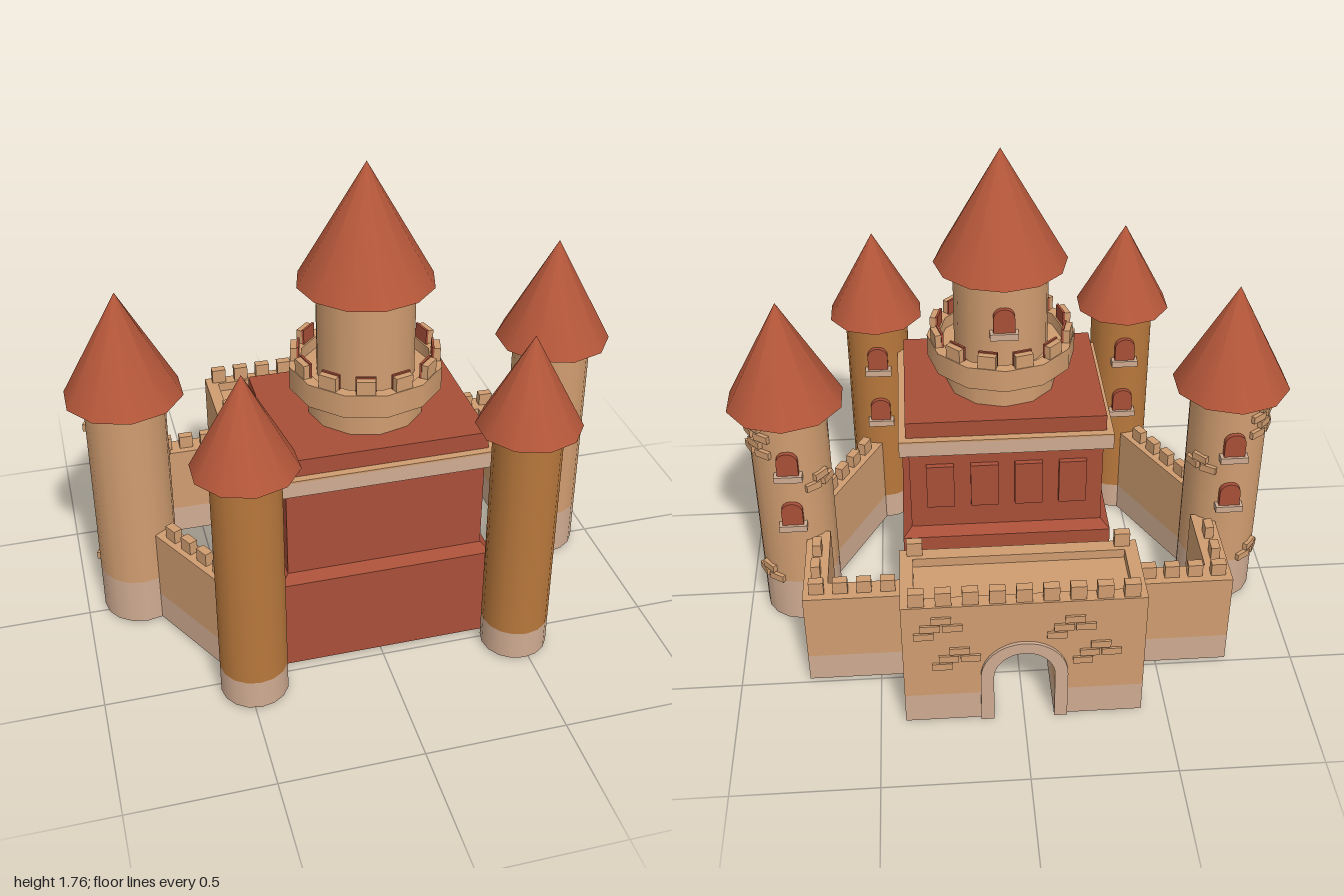
import * as THREE from 'three';

const mat = (name, color, side = THREE.FrontSide) => {
  const m = new THREE.MeshStandardMaterial({ color, side });
  m.name = name;
  return m;
};

export function createModel() {
  const roofRed = mat('roof red', 0xb5573a, THREE.DoubleSide);
  const brickRed = mat('brick red', 0xa84f38);
  const tan = mat('sandstone', 0xd09d70, THREE.DoubleSide);
  const ochre = mat('ochre', 0xb8783c, THREE.DoubleSide);
  const cream = mat('pale stone', 0xd0ac92, THREE.DoubleSide);

  const root = new THREE.Group();
  root.name = 'castle';
  const add = (name, geo, m, parent = root, x = 0, y = 0, z = 0) => {
    const mesh = new THREE.Mesh(geo, m);
    mesh.name = name;
    mesh.position.set(x, y, z);
    parent.add(mesh);
    return mesh;
  };
  const group = (name, x = 0, y = 0, z = 0, parent = root) => {
    const g = new THREE.Group();
    g.name = name;
    g.position.set(x, y, z);
    parent.add(g);
    return g;
  };
  // box given by its limits
  const box = (name, m, parent, x0, x1, y0, y1, z0, z1) =>
    add(name, new THREE.BoxGeometry(x1 - x0, y1 - y0, z1 - z0), m, parent,
      (x0 + x1) / 2, (y0 + y1) / 2, (z0 + z1) / 2);
  // open round section between two heights
  const drum = (name, m, parent, r0, r1, y0, y1, sides) =>
    add(name, new THREE.CylinderGeometry(r1, r0, y1 - y0, sides, 1, true), m, parent, 0, (y0 + y1) / 2, 0);
  const cone = (parent, r, y0, y1, sides) =>
    add('roof', new THREE.ConeGeometry(r, y1 - y0, sides), roofRed, parent, 0, (y0 + y1) / 2, 0);

  const archShape = (half, straight) => {
    const s = new THREE.Shape();
    s.moveTo(half, 0);
    s.lineTo(half, straight);
    s.absarc(0, straight, half, 0, Math.PI, false);
    s.lineTo(-half, 0);
    return s;
  };
  const extrude = (shape, depth) =>
    new THREE.ExtrudeGeometry(shape, { depth, bevelEnabled: false, curveSegments: 10 });

  // arched shutter with a tan surround and pale sill, facing outward at angle a
  const towerWindow = (parent, r, a, y) => {
    const g = group('window', Math.sin(a) * (r - 0.015), y, Math.cos(a) * (r - 0.015), parent);
    g.rotation.y = a;
    add('shutter', extrude(archShape(0.038, 0.055), 0.03), brickRed, g);
    box('sill', cream, g, -0.05, 0.05, -0.025, 0, 0, 0.04);
  };
  // staggered raised stones wrapped round a tower
  const towerBricks = (parent, r, a, y, rows) => {
    for (let i = 0; i < rows; i++) {
      for (let j = 0; j < (i % 2 ? 1 : 2); j++) {
        const b = a + (i % 2 ? 0 : (j - 0.5) * 0.5);
        const s = add('raised stone', new THREE.BoxGeometry(0.06, 0.028, 0.025), tan, parent,
          Math.sin(b) * r, y + i * 0.034, Math.cos(b) * r);
        s.rotation.y = b;
      }
    }
  };

  // corner towers
  for (const side of [-1, 1]) {
    const big = group('rearTower', side * 0.795, 0, -0.03);
    drum('base', cream, big, 0.142, 0.142, 0.01, 0.19, 16);
    drum('shaft', tan, big, 0.142, 0.142, 0.19, 0.93, 16);
    cone(big, 0.21, 0.915, 1.305, 10);
    for (const y of [0.475, 0.695]) towerWindow(big, 0.142, Math.PI, y);
    const a = Math.PI - side * 0.85;
    towerBricks(big, 0.141, a, 0.77, 4);
    towerBricks(big, 0.141, a, 0.205, 2);
    towerBricks(big, 0.141, 2 * Math.PI - a, 0.62, 2);

    const small = group('frontTower', side * 0.48, 0, 0.54);
    drum('base', cream, small, 0.119, 0.119, 0.01, 0.12, 16);
    drum('shaft', ochre, small, 0.119, 0.119, 0.12, 0.94, 16);
    cone(small, 0.18, 0.93, 1.265, 10);
    for (const y of [0.51, 0.745]) towerWindow(small, 0.119, Math.PI, y);
  }

  // curtain wall from point to point, with merlons at fractions along it
  const wall = (x0, z0, x1, z1, width, merlons) => {
    const len = Math.hypot(x1 - x0, z1 - z0);
    const g = group('curtainWall', (x0 + x1) / 2, 0, (z0 + z1) / 2);
    g.rotation.y = -Math.atan2(z1 - z0, x1 - x0);
    box('wallBase', cream, g, -len / 2, len / 2, 0.01, 0.12, -width / 2, width / 2);
    box('wallFace', tan, g, -len / 2, len / 2, 0.12, 0.385, -width / 2, width / 2);
    for (const t of merlons) {
      const x = (t - 0.5) * len;
      box('merlon', tan, g, x - 0.026, x + 0.026, 0.385, 0.435, -0.016, 0.016);
    }
  };
  for (const s of [-1, 1]) {
    wall(s * 0.41, -0.45, s * 0.755, -0.45, 0.085, [0.14, 0.38, 0.62, 0.86]);
    wall(s * 0.712, -0.41, s * 0.712, -0.12, 0.085, [0.2, 0.6]);
    wall(s * 0.72, 0.06, s * 0.51, 0.45, 0.075, [0.2, 0.4, 0.6, 0.8]);
  }

  // gatehouse with an arched passage
  const gate = group('gatehouse');
  const W = 0.413, zb = -0.71, zf = -0.41, inner = 0.105, spring = 0.2;
  for (const s of [-1, 1]) {
    const [a, b] = s < 0 ? [-W, -inner] : [inner, W];
    box('gateBase', cream, gate, a, b, 0, 0.12, zb, zf);
  }
  const face = new THREE.Shape();
  face.moveTo(-W, 0.12);
  face.lineTo(-inner, 0.12);
  face.lineTo(-inner, spring);
  face.absarc(0, spring, inner, Math.PI, 0, true);
  face.lineTo(inner, 0.12);
  face.lineTo(W, 0.12);
  face.lineTo(W, 0.485);
  face.lineTo(-W, 0.485);
  add('gateBody', extrude(face, zf - zb), tan, gate, 0, 0, zb);
  // parapet rim
  box('parapet', tan, gate, -W, W, 0.485, 0.52, zb, zb + 0.05);
  box('parapet', tan, gate, -W, W, 0.485, 0.52, zf - 0.05, zf);
  for (const s of [-1, 1])
    box('parapet', tan, gate, s * 0.39 - 0.023, s * 0.39 + 0.023, 0.485, 0.52, zb + 0.05, zf - 0.05);
  for (let i = 0; i < 9; i++) {
    const x = -0.36 + i * 0.09;
    box('merlon', tan, gate, x - 0.027, x + 0.027, 0.52, 0.575, -0.703, -0.67);
  }
  for (const s of [-1, 1])
    box('merlon', tan, gate, s * 0.36 - 0.027, s * 0.36 + 0.027, 0.52, 0.575, -0.443, -0.413);
  // pale stone surround of the archway
  const trim = archShape(0.15, spring);
  const hole = new THREE.Path();
  hole.moveTo(inner, 0.0);
  hole.lineTo(inner, spring);
  hole.absarc(0, spring, inner, 0, Math.PI, false);
  hole.lineTo(-inner, 0.0);
  const ring = new THREE.Shape([...trim.getPoints(10), ...hole.getPoints(10).reverse()]);
  add('archSurround', extrude(ring, 0.03), cream, gate, 0, 0, -0.722);
  // raised stones on the gate face
  for (const [x, y] of [[0.28, 0.43], [0.22, 0.29], [-0.17, 0.41], [-0.26, 0.29]]) {
    for (const [dx, dy] of [[-0.037, 0], [0.037, 0], [0, 0.034], [0.06, -0.034]])
      box('raised stone', tan, gate, x + dx - 0.034, x + dx + 0.034, y + dy - 0.014, y + dy + 0.014, -0.718, -0.705);
  }

  // keep
  const keep = group('keep', 0.02, 0, 0.16);
  box('lowerStorey', brickRed, keep, -0.383, 0.383, 0.01, 0.36, -0.312, 0.312);
  const slope = new THREE.BoxGeometry(0.766, 0.03, 0.624);
  const p = slope.attributes.position;
  for (let i = 0; i < p.count; i++)
    if (p.getY(i) > 0) p.setXYZ(i, Math.sign(p.getX(i)) * 0.35, p.getY(i), Math.sign(p.getZ(i)) * 0.28);
  slope.computeVertexNormals();
  add('slopedLedge', slope, brickRed, keep, 0, 0.375, 0);
  box('upperStorey', brickRed, keep, -0.35, 0.35, 0.39, 0.73, -0.28, 0.28);
  box('cornice', cream, keep, -0.383, 0.383, 0.73, 0.785, -0.312, 0.312);
  box('corniceTop', tan, keep, -0.383, 0.383, 0.785, 0.792, -0.312, 0.312);
  box('roofSlab', brickRed, keep, -0.358, 0.358, 0.79, 0.855, -0.285, 0.285);
  for (let i = 0; i < 4; i++) {
    const x = -0.24 + i * 0.16;
    box('shutter', brickRed, keep, x - 0.05, x + 0.05, 0.49, 0.67, -0.3, -0.28);
  }

  // central turret
  const turret = group('turret', 0, 0, 0, keep);
  drum('foot', tan, turret, 0.203, 0.203, 0.85, 0.93, 12);
  drum('flare', tan, turret, 0.203, 0.268, 0.93, 0.96, 12);
  drum('collar', tan, turret, 0.268, 0.268, 0.96, 1.045, 12);
  drum('collarInside', tan, turret, 0.228, 0.228, 1.0, 1.045, 12);
  const flatRing = (name, a, b, y) => {
    add(name, new THREE.RingGeometry(a, b, 12, 1, Math.PI / 2), tan, turret, 0, y, 0).rotation.x = -Math.PI / 2;
  };
  flatRing('collarRim', 0.228, 0.268, 1.045);
  flatRing('walkway', 0.15, 0.23, 1.0);
  for (let i = 0; i < 12; i++) {
    const g = group('merlonPair', 0, 0, 0, turret);
    g.rotation.y = (i + 0.5) * Math.PI / 6;
    box('merlon', tan, g, -0.032, 0.032, 1.045, 1.095, 0.234, 0.256);
    box('merlonBacking', brickRed, g, -0.034, 0.034, 1.045, 1.1, 0.226, 0.234);
  }
  drum('shaft', tan, turret, 0.17, 0.17, 1.0, 1.35, 16);
  cone(turret, 0.237, 1.34, 1.76, 12);
  towerWindow(turret, 0.17, Math.PI, 1.15);

  return root;
}
